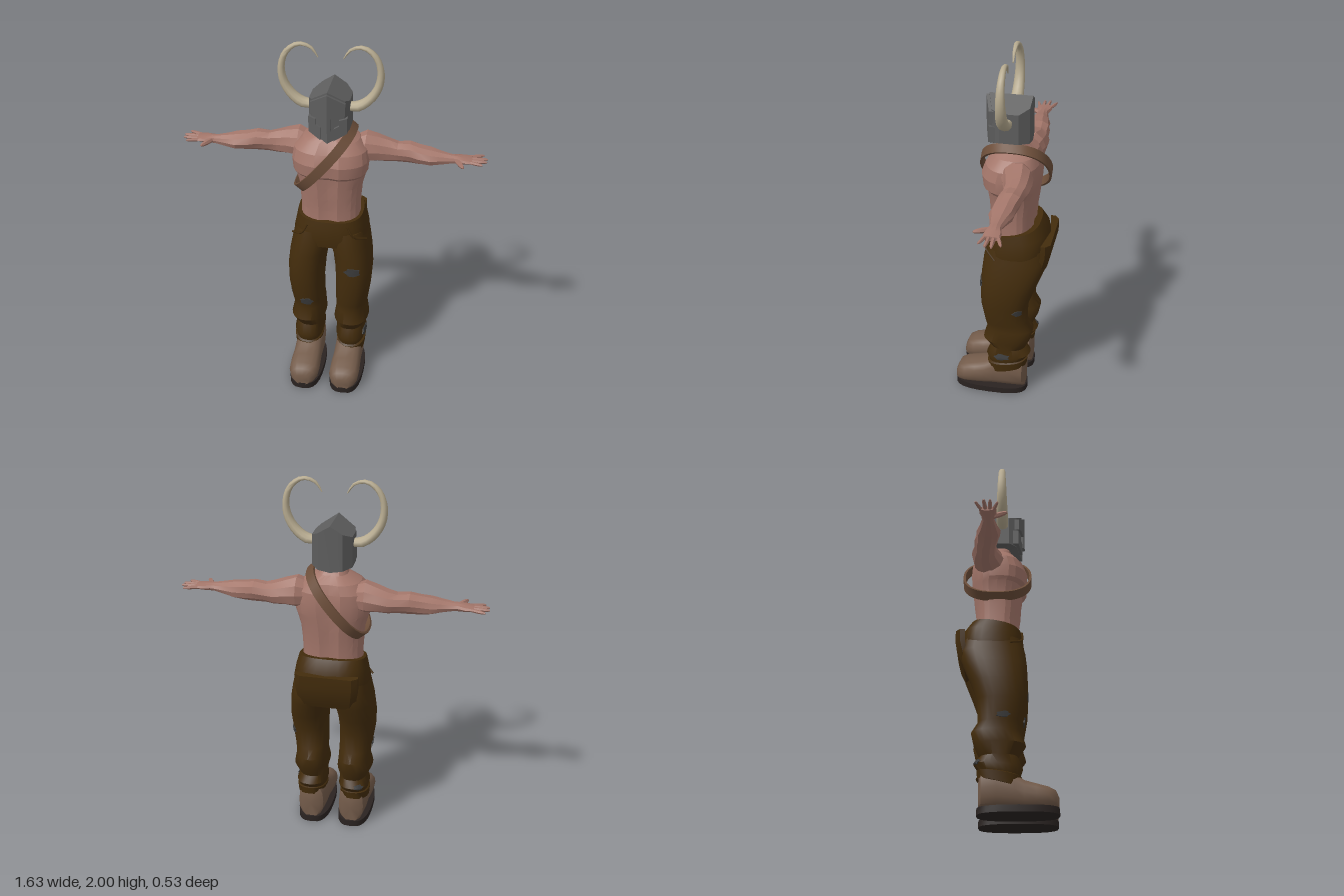
import * as THREE from 'three';
import { toCreasedNormals } from 'three/addons/utils/BufferGeometryUtils.js';

const paint = (name, hex) => Object.assign(new THREE.MeshStandardMaterial({ color: hex }), { name });
const V = (x, y, z) => new THREE.Vector3(x, y, z);
const pow = (v, e) => Math.sign(v) * Math.abs(v) ** e;
const ring = (n, f) => Array.from({ length: n }, (_, i) => f((i / n) * Math.PI * 2));

// Skin a surface over rings of points, cap the ends, and face it outward
function loft(rings, crease = 0.6, closed = false) {
  const n = rings[0].length, m = rings.length, pts = rings.flat(), idx = [];
  for (let j = 0; j < (closed ? m : m - 1); j++) {
    for (let i = 0; i < n; i++) {
      const a = j * n + i, b = j * n + (i + 1) % n, k = ((j + 1) % m) * n;
      const c = k + i, d = k + (i + 1) % n;
      idx.push(a, c, b, b, c, d);
    }
  }
  if (!closed) {
    for (const j of [0, m - 1]) {
      const mid = rings[j].reduce((s, p) => s.add(p), V(0, 0, 0)).divideScalar(n);
      const c = pts.push(mid) - 1;
      for (let i = 0; i < n; i++) {
        const a = j * n + i, b = j * n + (i + 1) % n;
        idx.push(...(j ? [a, c, b] : [a, b, c]));
      }
    }
  }
  let volume = 0;
  for (let i = 0; i < idx.length; i += 3) {
    volume += pts[idx[i]].dot(V(0, 0, 0).crossVectors(pts[idx[i + 1]], pts[idx[i + 2]]));
  }
  if (volume < 0) idx.reverse();
  const g = new THREE.BufferGeometry().setFromPoints(pts);
  g.setIndex(idx);
  return toCreasedNormals(g, crease);
}

// Trouser leg: y, inner x, outer x, front z, back z
const LEG = [
  [0.13, 0.045, 0.2, 0.075, -0.145], [0.19, 0.04, 0.205, 0.08, -0.15],
  [0.196, 0.045, 0.196, 0.07, -0.143], [0.24, 0.035, 0.205, 0.085, -0.165],
  [0.3, 0.04, 0.19, 0.06, -0.137], [0.36, 0.025, 0.22, 0.1, -0.165],
  [0.43, 0.035, 0.205, 0.08, -0.18], [0.48, 0.035, 0.213, 0.09, -0.147],
  [0.6, 0.036, 0.23, 0.11, -0.15], [0.7, 0.03, 0.235, 0.112, -0.185],
  [0.8, 0.015, 0.225, 0.108, -0.225], [0.88, -0.01, 0.21, 0.1, -0.247],
  [0.95, -0.02, 0.195, 0.085, -0.23],
];
function legPoint(s, y, a, grow = 0) {
  let k = 0;
  while (k < LEG.length - 2 && LEG[k + 1][0] < y) k++;
  const t = (y - LEG[k][0]) / (LEG[k + 1][0] - LEG[k][0]);
  const [xi, xo, zf, zb] = [1, 2, 3, 4].map((c) => THREE.MathUtils.lerp(LEG[k][c], LEG[k + 1][c], t));
  const x = (xi + xo) / 2 + ((xo - xi) / 2 + grow) * pow(Math.cos(a), 0.85);
  const z = (zf + zb) / 2 + ((zf - zb) / 2 + grow) * pow(Math.sin(a), 0.85);
  const hem = Math.max(0, 1 - (y - 0.13) / 0.17);
  return V(s * x, y + (0.07 - z) * 0.26 * hem, z);
}

export function createModel() {
  const model = new THREE.Group();
  const skin = paint('skin', 0xa3766a), trouser = paint('brown cloth', 0x432c0c);
  const leather = paint('boot leather', 0x735b4a), rubber = paint('dark sole', 0x2a2321);
  const steel = paint('grey steel', 0x5e5e5e), bone = paint('horn', 0xb7ab90);
  const belt = paint('strap leather', 0x6b4d39), patchGrey = paint('patch grey', 0x3a3a3a);
  const add = (name, geo, mat) => {
    const mesh = new THREE.Mesh(geo, mat);
    mesh.name = name;
    model.add(mesh);
    return mesh;
  };

  // Torso and neck: y, half width, front z, back z; grooved down the chest and spine
  const torso = [
    [0.98, 0.163, 0.07, -0.16], [1.08, 0.16, 0.068, -0.165], [1.15, 0.164, 0.078, -0.17],
    [1.22, 0.17, 0.083, -0.18], [1.285, 0.188, 0.092, -0.187], [1.305, 0.198, 0.113, -0.19],
    [1.37, 0.205, 0.12, -0.195], [1.43, 0.195, 0.098, -0.19], [1.48, 0.15, 0.06, -0.17],
    [1.515, 0.08, 0.03, -0.125], [1.55, 0.06, 0.03, -0.1], [1.6, 0.06, 0.03, -0.1],
  ];
  add('torso', loft(torso.map(([y, w, f, b]) => ring(24, (a) => {
    const x = w * pow(Math.cos(a), 0.85);
    const groove = 1 - 0.09 * Math.max(0, 1 - Math.abs(x) / 0.045);
    return V(x, y, (f + b) / 2 + ((f - b) / 2) * pow(Math.sin(a), 0.8) * groove);
  })), 0.3), skin);

  // Arms: x, y, z, half height, half depth
  const arm = [
    [0.11, 1.4, -0.08, 0.065, 0.07], [0.18, 1.41, -0.095, 0.084, 0.085],
    [0.24, 1.405, -0.105, 0.072, 0.076], [0.3, 1.395, -0.11, 0.063, 0.064],
    [0.345, 1.393, -0.105, 0.054, 0.058], [0.41, 1.397, -0.1, 0.057, 0.062],
    [0.46, 1.39, -0.09, 0.052, 0.06], [0.52, 1.387, -0.085, 0.046, 0.062],
    [0.57, 1.386, -0.082, 0.035, 0.046], [0.63, 1.386, -0.08, 0.024, 0.032],
    [0.655, 1.387, -0.08, 0.023, 0.032], [0.69, 1.386, -0.08, 0.019, 0.043],
    [0.735, 1.386, -0.082, 0.012, 0.043],
  ];
  // Fingers and thumb: start x, start z, tip x, tip z, radius
  const fingers = [
    [0.72, -0.112, 0.795, -0.14, 0.009], [0.725, -0.092, 0.815, -0.098, 0.01],
    [0.725, -0.07, 0.812, -0.066, 0.01], [0.72, -0.052, 0.79, -0.03, 0.009],
    [0.655, -0.06, 0.695, 0.015, 0.013],
  ];
  for (const s of [1, -1]) {
    const side = s > 0 ? 'left' : 'right';
    add(side + 'Arm', loft(arm.map(([x, y, z, h, d], j) => ring(10, (a) => {
      const bulge = 1 + 0.05 * Math.cos(3 * a + j);
      return V(s * x, y + h * bulge * Math.sin(a), z + d * bulge * Math.cos(a));
    })), 0.3), skin);
    fingers.forEach(([x0, z0, x1, z1, r], i) => {
      const w = V(z1 - z0, 0, x0 - x1).normalize();
      const rows = [[0, 1], [0.5, 1.05], [0.85, 0.8], [1, 0.35]];
      add(side + (i < 4 ? 'Finger' : 'Thumb'), loft(rows.map(([t, k]) => ring(6, (a) => {
        const off = r * k * Math.cos(a);
        return V(s * (x0 + (x1 - x0) * t + w.x * off), 1.387 + r * k * Math.sin(a), z0 + (z1 - z0) * t + w.z * off);
      }))), skin);
    });

    // Trouser leg with front pocket welt
    add(side + 'TrouserLeg', loft(LEG.map(([y]) => ring(24, (a) => legPoint(s, y, a))), 0.8), trouser);
    const welt = [V(s * 0.11, 1.0, 0.082), V(s * 0.14, 0.945, 0.083), V(s * 0.205, 0.905, 0.02)];
    add(side + 'PocketWelt', new THREE.TubeGeometry(new THREE.CatmullRomCurve3(welt), 8, 0.006, 5), trouser);

    // Boot: z, half width, top y
    const boot = [
      [-0.138, 0.05, 0.2], [-0.125, 0.07, 0.23], [-0.05, 0.08, 0.25], [0.04, 0.078, 0.215],
      [0.09, 0.08, 0.178], [0.15, 0.084, 0.16], [0.21, 0.083, 0.143], [0.245, 0.068, 0.125], [0.262, 0.04, 0.09],
    ];
    add(side + 'Boot', loft(boot.map(([z, w, top]) => ring(16, (a) => {
      const mid = (top + 0.025) / 2, h = (top - 0.025) / 2;
      return V(s * 0.115 + w * pow(Math.sin(a), 0.75), mid + h * pow(Math.cos(a), 0.75), z);
    })), 0.8), leather);
    add(side + 'Sole', loft([0, 0.035].map((y) => ring(24, (a) =>
      V(s * 0.115 + 0.094 * pow(Math.cos(a), 0.65), y, 0.058 + 0.207 * pow(Math.sin(a), 0.8))))), rubber);

    // Horn: curved in the front plane, tapering to a point
    const path = new THREE.CatmullRomCurve3([
      [0.085, 1.67], [0.145, 1.675], [0.205, 1.72], [0.245, 1.79], [0.253, 1.87],
      [0.227, 1.945], [0.165, 1.99], [0.1, 1.975], [0.065, 1.925],
    ].map(([x, y]) => V(s * x, y, -0.022)));
    const steps = Array.from({ length: 21 }, (_, i) => i / 20);
    add(side + 'Horn', loft(steps.map((t) => {
      const p = path.getPointAt(t), d = path.getTangentAt(t);
      const r = 0.003 + 0.031 * (1 - t) ** 0.75 * (t < 0.08 ? 0.85 : 1);
      return ring(10, (a) => V(p.x + d.y * r * 0.85 * Math.cos(a), p.y - d.x * r * 0.85 * Math.cos(a), p.z + r * 1.1 * Math.sin(a)));
    }), 0.9), bone);

    // Raised brow-and-nose plate and cheek plate leave stepped eye slots
    const plates = {
      BrowPlate: [[0, 1.775], [0.09, 1.72], [0.09, 1.655], [0.055, 1.665], [0.02, 1.645], [0.018, 1.575], [0, 1.565]],
      CheekPlate: [[0.1, 1.64], [0.06, 1.632], [0.06, 1.6], [0.035, 1.588], [0.035, 1.52], [0.1, 1.556]],
    };
    for (const [name, outline] of Object.entries(plates)) {
      const shape = new THREE.Shape(outline.map(([x, y]) => new THREE.Vector2(s * x, y)));
      const g = new THREE.ExtrudeGeometry(shape, { depth: 0.03, bevelEnabled: false });
      const p = g.attributes.position;
      for (let i = 0; i < p.count; i++) p.setZ(i, p.getZ(i) + 0.072 - 0.35 * Math.abs(p.getX(i)));
      g.computeVertexNormals();
      add(side + name, g, steel);
    }
  }

  // Seat and waist of the trousers, higher at the back
  const hips = [
    [0.865, 0.2, 0.09, -0.22], [0.92, 0.204, 0.097, -0.245], [0.98, 0.19, 0.09, -0.232], [1.02, 0.178, 0.082, -0.195],
  ];
  add('trouserWaist', loft(hips.map(([y, w, f, b], j) => ring(28, (a) => {
    const z = (f + b) / 2 + ((f - b) / 2) * pow(Math.sin(a), 0.75);
    return V(w * pow(Math.cos(a), 0.75), y + (j / 3) * 0.19 * (0.08 - z), z);
  })), 0.8), trouser);
  // Loose seat panel: y, half width, z
  const seat = [[0.8, 0.15, -0.222], [0.86, 0.16, -0.25], [0.93, 0.168, -0.267], [1.0, 0.168, -0.268]];
  add('seatPanel', loft(seat.map(([y, w, z]) => [
    V(-w, y, z + 0.05), V(-w, y, z + 0.025), V(-w + 0.03, y, z), V(w - 0.03, y, z),
    V(w, y, z + 0.025), V(w, y, z + 0.05), V(w - 0.03, y, z + 0.015), V(0.03 - w, y, z + 0.015),
  ])), trouser);

  // Worn patches on the cloth: side, y, angle around the leg, size
  const patches = [
    [1, 0.73, 1.45, 0.036], [-1, 0.49, 1.65, 0.034], [1, 0.58, -0.65, 0.026],
    [1, 0.25, 0.2, 0.032], [-1, 0.5, 0.1, 0.024], [-1, 0.25, -1.1, 0.032],
  ];
  for (const [s, y, angle, size] of patches) {
    const rows = [[0, 0.005], [0.5, 0.005], [1, 0.005], [1, -0.003]];
    add('clothPatch', loft(rows.map(([k, grow]) => ring(12, (a) => {
      const r = k * size * (1 + 0.18 * Math.cos(5 * a));
      return legPoint(s, y + 0.65 * r * Math.sin(a), angle + (r / 0.105) * Math.cos(a), grow);
    }))), patchGrey);
  }

  // Shoulder strap: a flat band looped over the left shoulder and under the right arm
  const band = ring(36, (t) => [[0, -1], [0, 1], [0.012, 1], [0.012, -1]].map(([d, e]) => {
    const u = (0.218 + d) * pow(Math.cos(t), 0.9), w = (0.176 + d) * pow(Math.sin(t), 0.8);
    return V(-0.03 + 0.64 * u - 0.77 * 0.026 * e, 1.363 + 0.77 * u + 0.64 * 0.026 * e, -0.05 + w);
  }));
  add('shoulderStrap', loft(band, 0.5, true), belt);

  // Helmet shell: faceted plan, ridged roof, pointed chin
  const half = [[0, 0.086], [0.085, 0.056], [0.105, 0.015], [0.105, -0.085], [0.065, -0.135], [0, -0.14]];
  const plan = [...half, ...half.slice(1, -1).reverse().map(([x, z]) => [-x, z])];
  const chin = (x, z) => 1.555 - 0.055 * (1 - Math.abs(x) / 0.105) * (z > 0 ? 1 : 0.3);
  add('helmet', loft([
    plan.map(([x, z]) => V(x, chin(x, z), z)),
    plan.map(([x, z]) => V(x, 1.785 - 0.63 * Math.abs(x), z)),
    plan.map(([x, z]) => V(0, 1.785, z)),
  ], 0.2), steel);

  return model;
}
